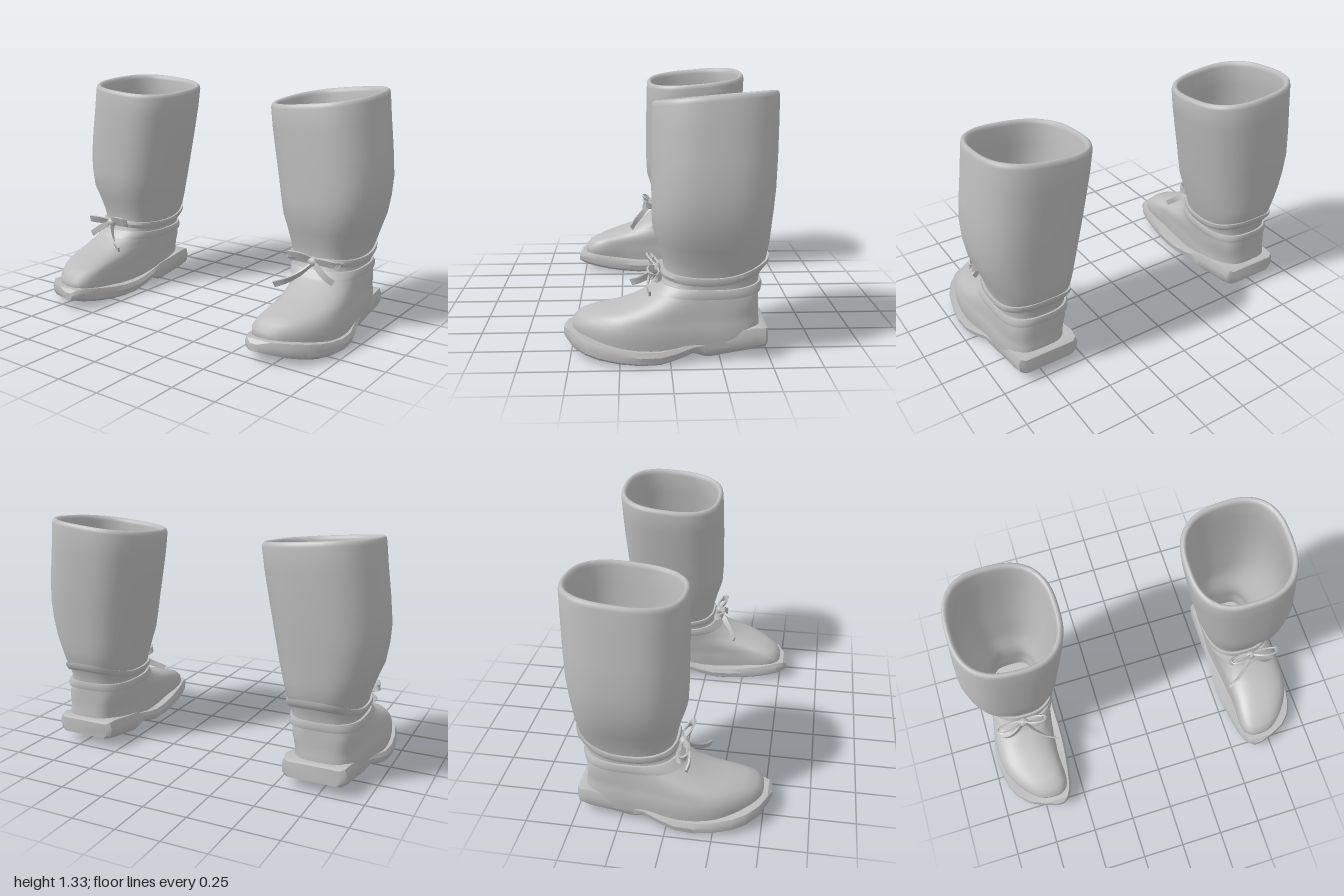
import * as THREE from 'three';
import { toCreasedNormals } from 'three/addons/utils/BufferGeometryUtils.js';

const V = (x, y, z) => new THREE.Vector3(x, y, z);
const step = THREE.MathUtils.smoothstep;

// Skins a row of equal-length point loops; closed joins last to first, otherwise ends are capped.
function loft(loops, { side = 1, closed = false, crease = 0.7 } = {}) {
  const n = loops[0].length, m = loops.length;
  const pts = loops.flat().map(p => V(p.x * side, p.y, p.z));
  const tris = [];
  for (let i = 0; i < (closed ? m : m - 1); i++) {
    for (let j = 0; j < n; j++) {
      const a = i * n + j, b = i * n + (j + 1) % n;
      const c = ((i + 1) % m) * n + j, d = ((i + 1) % m) * n + (j + 1) % n;
      tris.push([a, b, d], [a, d, c]);
    }
  }
  if (!closed) {
    const e = (m - 1) * n;
    for (let j = 1; j < n - 1; j++) tris.push([0, j + 1, j], [e, e + j, e + j + 1]);
  }
  // a negative volume means the faces point inwards
  let volume = 0;
  for (const [a, b, c] of tris) volume += pts[a].dot(V(0, 0, 0).crossVectors(pts[b], pts[c]));
  if (volume < 0) tris.forEach(t => t.reverse());
  const geo = new THREE.BufferGeometry().setFromPoints(pts);
  geo.setIndex(tris.flat());
  return toCreasedNormals(geo, crease);
}

// Boot outline by height: y, inner x, outer x, back z, front z
const LEVELS = [
  [0.07, 0.55, 0.91, -0.455, 0.47],
  [0.12, 0.545, 0.915, -0.455, 0.495],
  [0.16, 0.545, 0.915, -0.455, 0.495],
  [0.195, 0.545, 0.91, -0.453, 0.46],
  [0.22, 0.54, 0.905, -0.45, 0.4],
  [0.245, 0.54, 0.905, -0.45, 0.31],
  [0.275, 0.535, 0.9, -0.45, 0.21],
  [0.3, 0.535, 0.9, -0.45, 0.155],
  [0.33, 0.53, 0.895, -0.45, 0.1],
  [0.36, 0.53, 0.892, -0.45, 0.055],
  [0.4, 0.52, 0.895, -0.455, 0.03],
  [0.45, 0.505, 0.905, -0.467, 0.028],
  [0.5, 0.49, 0.92, -0.49, 0.038],
  [0.58, 0.47, 0.948, -0.503, 0.06],
  [0.65, 0.452, 0.975, -0.508, 0.083],
  [0.75, 0.433, 0.993, -0.518, 0.088],
  [0.85, 0.416, 1.0, -0.527, 0.088],
  [1.0, 0.39, 0.985, -0.535, 0.088],
  [1.15, 0.365, 0.965, -0.54, 0.086],
  [1.27, 0.35, 0.952, -0.542, 0.083],
];

function levelAt(y) {
  const i = Math.max(1, LEVELS.findIndex(l => l[0] >= y));
  const a = LEVELS[i - 1], b = LEVELS[i], t = (y - a[0]) / (b[0] - a[0]);
  return a.map((v, k) => v + (b[k] - v) * t);
}

// One rounded-square ring of the boot; the foot bends outwards, the toe back inwards
function ring([y, x0, x1, zb, zf], inset = 0, sides = 56) {
  const foot = 1 - step(y, 0.27, 0.4), lean = Math.max(0, (y - 0.7) / 0.57);
  const hx = (x1 - x0) / 2 - inset, hz = (zf - zb) / 2 - inset;
  return Array.from({ length: sides }, (_, i) => {
    const a = i / sides * Math.PI * 2, c = Math.cos(a), s = Math.sin(a);
    const power = 2 / (s > 0 ? 2.6 : 2.6 + 1.4 * foot);
    const z = (zf + zb) / 2 + hz * Math.sign(s) * Math.abs(s) ** power;
    const bend = 0.035 * step(z, -0.2, 0.12) - 0.1 * step(z, 0.2, 0.6);
    const x = (x0 + x1) / 2 + hx * Math.sign(c) * Math.abs(c) ** power + bend * foot;
    return V(x, y + lean * (0.09 * (x - 0.65) - 0.08 * (z + 0.23)), z);
  });
}

// Hollow leather upper: outside, rounded rim, then back down the inside
function upperLoops() {
  const top = LEVELS[LEVELS.length - 1];
  const rim = (y, inset) => ring([y, ...top.slice(1)], inset);
  return [
    ...LEVELS.map(l => ring(l)),
    rim(1.288, 0.004), rim(1.296, 0.013), rim(1.294, 0.024), rim(1.282, 0.031),
    ...LEVELS.slice().reverse().map(l => ring(l, 0.034)),
  ];
}

// Sole along the foot: z, inner x, outer x, bottom y, top y
const SOLE = [
  [-0.49, 0.56, 0.87, 0.066, 0.155],
  [-0.475, 0.535, 0.895, 0.063, 0.163],
  [-0.42, 0.525, 0.905, 0.055, 0.167],
  [-0.3, 0.527, 0.905, 0.036, 0.146],
  [-0.2, 0.53, 0.91, 0.02, 0.13],
  [-0.175, 0.53, 0.912, 0.022, 0.124],
  [-0.115, 0.53, 0.925, 0.046, 0.105],
  [-0.03, 0.53, 0.948, 0.02, 0.083],
  [0.05, 0.528, 0.968, 0.003, 0.073],
  [0.15, 0.53, 0.975, 0.002, 0.075],
  [0.25, 0.537, 0.965, 0.008, 0.086],
  [0.35, 0.548, 0.94, 0.02, 0.102],
  [0.42, 0.558, 0.905, 0.033, 0.116],
  [0.48, 0.573, 0.845, 0.046, 0.125],
  [0.52, 0.595, 0.76, 0.058, 0.124],
  [0.542, 0.625, 0.69, 0.065, 0.105],
];
const soleLoops = () => SOLE.map(([z, x0, x1, yb, yt]) => {
  const h = yt - yb, e = Math.min(0.025, (x1 - x0) * 0.2);
  const half = [[e, 0], [0.006, 0.2], [0, 0.65], [0.012, 1]];
  return [
    ...half.map(([d, f]) => V(x1 - d, yb + h * f, z)),
    ...half.slice().reverse().map(([d, f]) => V(x0 + d, yb + h * f, z)),
  ];
});

// Strap wound round the ankle; rise(z) gives its height along the boot
function strapLoops(rise, height) {
  const point = (i, f, out) => {
    let z = -0.2, p;
    for (let k = 0; k < 3; k++) {
      p = ring(levelAt(rise(z) + height * f), -out)[i];
      z = p.z;
    }
    return p;
  };
  return Array.from({ length: 56 }, (_, i) => [
    point(i, -0.5, -0.01), point(i, -0.5, 0.012), point(i, 0, 0.019),
    point(i, 0.5, 0.012), point(i, 0.5, -0.01),
  ]);
}

// Flat lace following a curve, with its width along a given direction
function laceLoops(points, width, across) {
  const curve = new THREE.CatmullRomCurve3(points.map(p => V(...p)));
  const w = V(...across).normalize();
  return Array.from({ length: 17 }, (_, i) => {
    const p = curve.getPoint(i / 16), t = curve.getTangent(i / 16);
    const u = w.clone().addScaledVector(t, -w.dot(t)).normalize();
    const n = u.clone().cross(t).multiplyScalar(0.005);
    u.multiplyScalar(width / 2);
    return [[1, 1], [-1, 1], [-1, -1], [1, -1]].map(([a, b]) =>
      p.clone().addScaledVector(u, a).addScaledVector(n, b));
  });
}

// Bow: name, path, width, width direction
const LACES = [
  ['innerBowLoop', [[0.73, 0.43, 0.06], [0.67, 0.465, 0.1], [0.6, 0.462, 0.1],
    [0.6, 0.44, 0.07], [0.66, 0.43, 0.05], [0.73, 0.43, 0.055]], 0.035, [0.1, 1, 0.4]],
  ['outerBowLoop', [[0.73, 0.43, 0.06], [0.8, 0.45, 0.1], [0.88, 0.445, 0.1],
    [0.89, 0.43, 0.07], [0.82, 0.425, 0.05], [0.73, 0.43, 0.055]], 0.035, [-0.1, 1, 0.4]],
  ['innerLaceTail', [[0.73, 0.425, 0.065], [0.68, 0.37, 0.12], [0.62, 0.33, 0.165],
    [0.56, 0.305, 0.19]], 0.034, [0.6, 1, 0]],
  ['outerLaceTail', [[0.73, 0.43, 0.065], [0.78, 0.405, 0.1], [0.83, 0.37, 0.11],
    [0.87, 0.345, 0.1]], 0.034, [0.4, 1, 0]],
];

export function createModel() {
  const leather = new THREE.MeshStandardMaterial({ color: 0xbcbcbc });
  leather.name = 'greyLeather';
  const model = new THREE.Group();
  model.name = 'pairOfBoots';

  for (const side of [1, -1]) {
    const boot = new THREE.Group();
    boot.name = side > 0 ? 'leftBoot' : 'rightBoot';
    const add = (name, loops, options) => {
      const mesh = new THREE.Mesh(loft(loops, { side, ...options }), leather);
      mesh.name = name;
      boot.add(mesh);
    };
    add('upper', upperLoops(), { closed: true, crease: 1 });
    add('sole', soleLoops(), { crease: 0.6 });
    add('lowerStrap', strapLoops(z => 0.345 + 0.25 * (z + 0.2) ** 2, 0.045), { closed: true });
    add('upperStrap', strapLoops(z => 0.41 + (z < -0.2 ? 0.9 : 0.3) * (z + 0.2) ** 2, 0.04),
      { closed: true });
    LACES.forEach(([name, ...lace]) => add(name, laceLoops(...lace)));

    // Knot in the middle of the bow
    const knot = new THREE.Mesh(new THREE.SphereGeometry(1, 14, 10), leather);
    knot.name = 'knot';
    knot.geometry.scale(0.032, 0.027, 0.026);
    knot.position.set(0.73 * side, 0.432, 0.068);
    boot.add(knot);
    model.add(boot);
  }
  return model;
}
